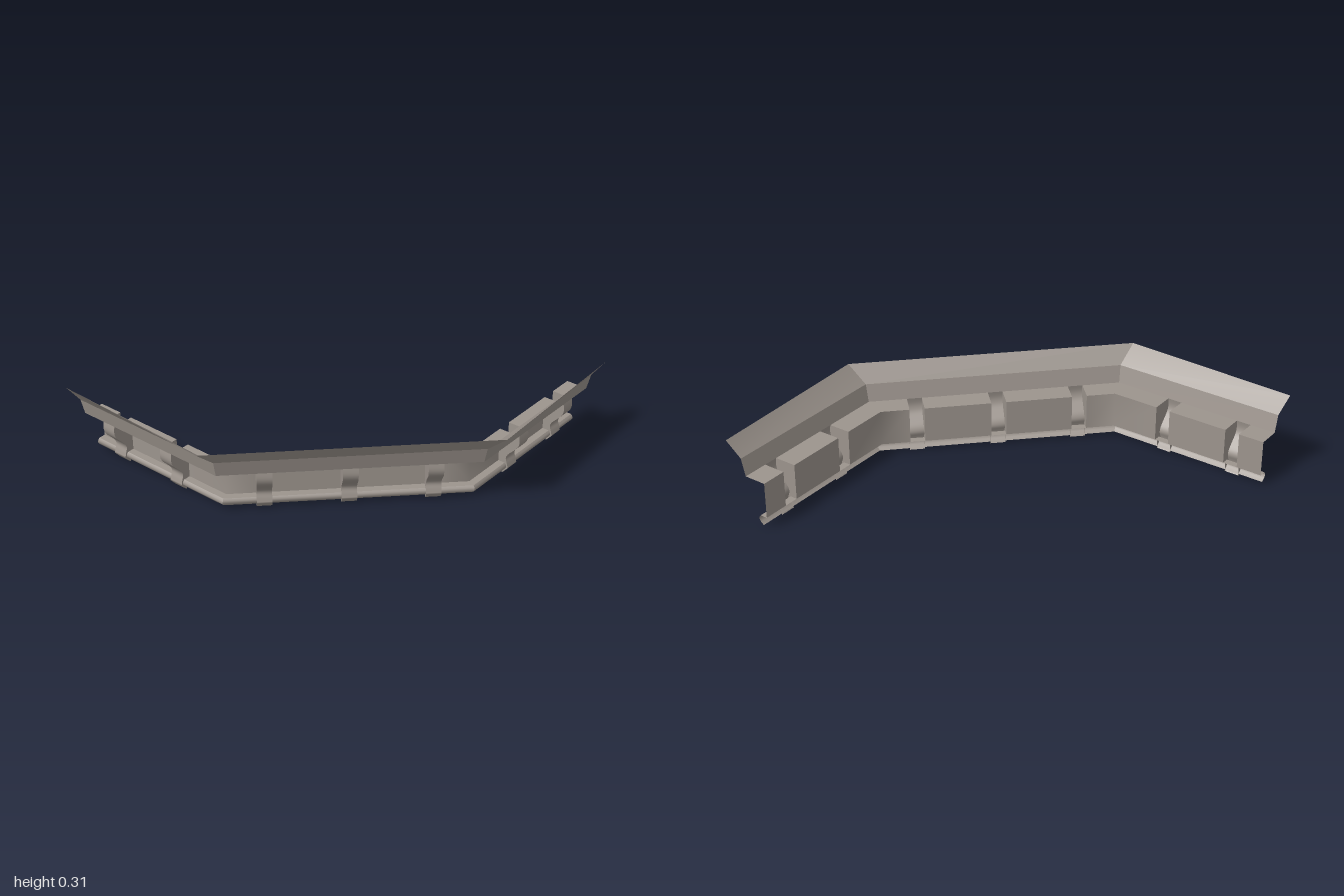
import * as THREE from 'three';

const CORNER = 0.44, END = 1.066, WALL_Z = 0.145; // run measured along the wall from the centre
const SOFFIT_Y = 0.182, LEDGE_Y = 0.045, HALF = 0.028;
const R = Math.SQRT1_2;

// Point at run u along the three-sided wall, d out from it, at height y
function at(u, d, y) {
  const s = Math.sign(u), a = Math.abs(u);
  if (Math.abs(a - CORNER) < 1e-6) return [s * (CORNER + d * 0.414), y, WALL_Z + d];
  if (a < CORNER) return [u, y, WALL_Z + d];
  const t = (a - CORNER) * R;
  return [s * (CORNER + t + d * R), y, WALL_Z - t + d * R];
}

// Surface over a grid: columns run left to right, points run top to bottom
function sheet(columns) {
  const n = columns[0].length, index = [];
  for (let i = 0; i < columns.length - 1; i++)
    for (let j = 0; j < n - 1; j++) {
      const a = i * n + j, b = a + 1, c = b + n, d = a + n;
      index.push(a, b, c, a, c, d);
    }
  const g = new THREE.BufferGeometry();
  g.setAttribute('position', new THREE.Float32BufferAttribute(columns.flat(2), 3));
  g.setIndex(index);
  g.computeVertexNormals();
  return g;
}

const sweep = (stations, profile) =>
  sheet(stations.map(u => profile.map(([d, y]) => at(u, d, y))));

export function createModel() {
  const root = new THREE.Group();
  root.name = 'bayCornice';
  const stone = new THREE.MeshStandardMaterial({ color: 0x9c948d, side: THREE.DoubleSide });
  stone.name = 'warm grey stone';
  const group = name => {
    const g = new THREE.Group();
    g.name = name;
    root.add(g);
    return g;
  };
  const add = (parent, name, geometry) => {
    const m = new THREE.Mesh(geometry, stone);
    m.name = name;
    parent.add(m);
  };

  const crown = group('crown'), base = group('baseMoulding');
  const frieze = group('frieze'), brackets = group('brackets');

  // Sloping crown with a flared lip, and rounded base moulding, on each side of the bay
  const corners = [-END, -CORNER, CORNER, END];
  const lip = [[-1, 0.312, -0.205], [-0.54, 0.312, 0.295], [0.54, 0.312, 0.295], [1, 0.312, -0.205]];
  const roll = [[0.028, LEDGE_Y], [0.034, 0.038], [0.036, 0.029], [0.029, 0.018], [0.017, 0.009]];
  for (let i = 0; i < 3; i++) {
    const span = [corners[i], corners[i + 1]];
    add(crown, 'crownLip', sheet([0, 1].map(k => [lip[i + k], at(span[k], 0.102, 0.247)])));
    add(crown, 'crownFascia', sweep(span, [[0.102, 0.247], [0.085, SOFFIT_Y]]));
    add(base, 'ledge', sweep(span, [[0, LEDGE_Y], [0.028, LEDGE_Y]]));
    add(base, 'roll', sweep(span, roll));
  }

  // Soffit and wall panels between the hollow brackets, wrapping the corners
  const centres = [-0.94, -0.65, -0.305, 0, 0.305, 0.65, 0.94];
  const edges = [-END, ...centres.flatMap(c => [c - HALF, c + HALF]), END];
  for (let i = 0; i < edges.length; i += 2) {
    const [a, b] = [edges[i], edges[i + 1]];
    const run = [a, ...[-CORNER, CORNER].filter(c => c > a && c < b), b];
    add(frieze, 'soffit', sweep(run, [[0.085, SOFFIT_Y], [0, SOFFIT_Y]]));
    add(frieze, 'wallPanel', sweep(run, [[0, SOFFIT_Y], [0, LEDGE_Y]]));
  }

  // S-shaped brackets: curved front strip and two cheeks, open at the back
  const curve = new THREE.SplineCurve([
    [0.085, SOFFIT_Y], [0.088, 0.155], [0.08, 0.13], [0.06, 0.107], [0.04, 0.085],
    [0.032, 0.065], [0.038, 0.045], [0.043, 0.026],
  ].map(p => new THREE.Vector2(...p)));
  const scroll = [...curve.getPoints(21).map(p => [p.x, p.y]), [0.02, 0]];
  const back = scroll.map(([d, y]) => [y >= LEDGE_Y ? 0 : Math.min(d, 0.017), y]);
  for (const c of centres) {
    const column = (u, profile) => profile.map(([d, y]) => at(u, d, y));
    const l = c - HALF, r = c + HALF;
    add(brackets, 'bracketFront', sweep([l, r], scroll));
    add(brackets, 'bracketLeftCheek', sheet([column(r, scroll), column(r, back)]));
    add(brackets, 'bracketRightCheek', sheet([column(l, back), column(l, scroll)]));
  }
  return root;
}
